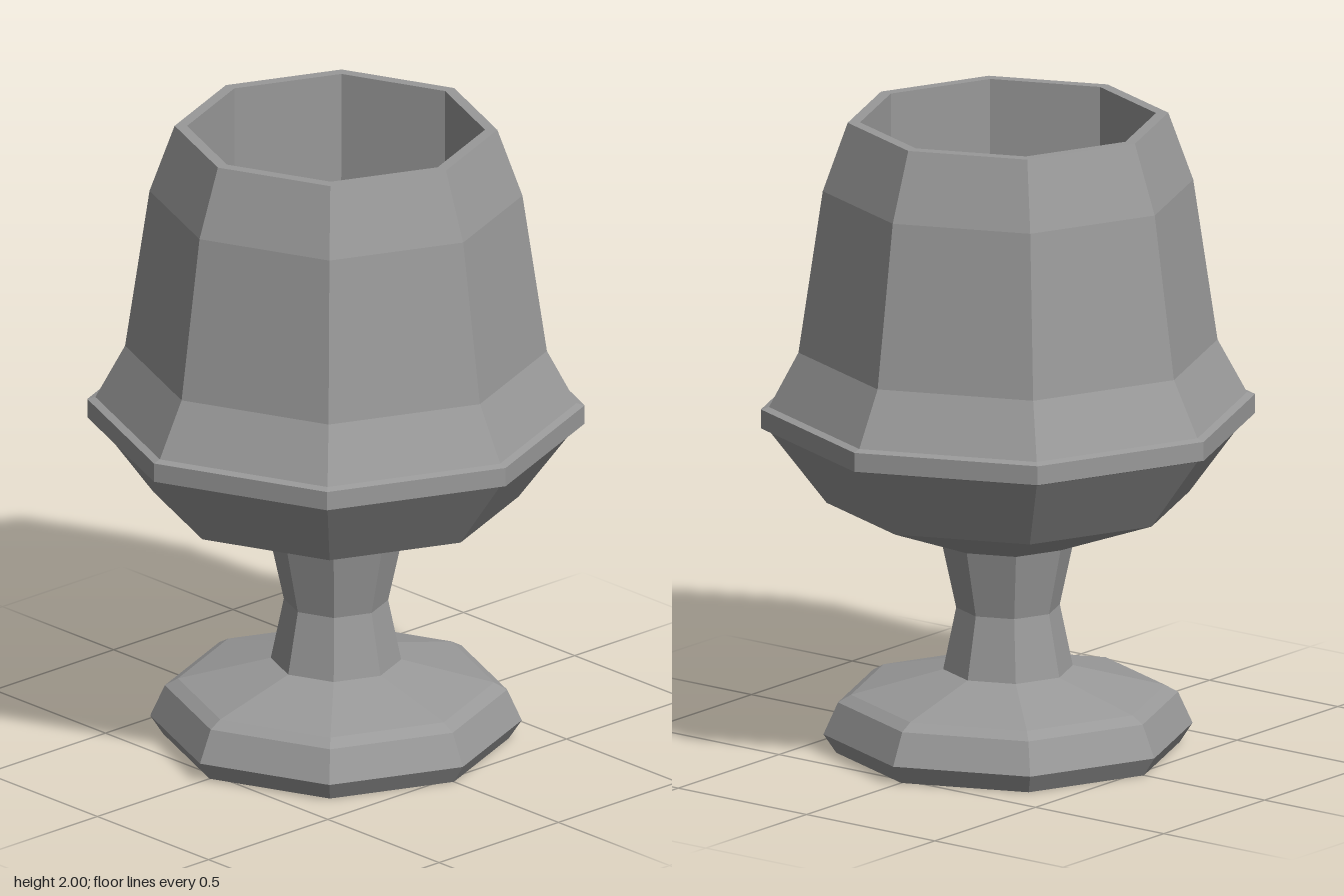
import * as THREE from 'three';

const SIDES = 8;

// Faceted octagonal lathe from [radius, height] pairs, with corners on the x and z axes
function turned(name, profile, material) {
  const points = profile.map(([r, y]) => new THREE.Vector2(r, y));
  const geometry = new THREE.LatheGeometry(points, SIDES).toNonIndexed();
  geometry.computeVertexNormals();
  const mesh = new THREE.Mesh(geometry, material);
  mesh.name = name;
  return mesh;
}

export function createModel() {
  const stone = new THREE.MeshStandardMaterial({ color: 0x999999, flatShading: true });
  stone.name = 'grey stone';

  const goblet = new THREE.Group();
  goblet.name = 'goblet';

  // Foot: closed underneath, bevelled edge, sloping up to the stem
  goblet.add(turned('foot', [
    [0, 0], [0.53, 0], [0.57, 0.06], [0.525, 0.16], [0.485, 0.183], [0.2, 0.255],
  ], stone));

  // Waisted stem
  goblet.add(turned('stem', [[0.2, 0.255], [0.16, 0.45], [0.205, 0.66]], stone));

  // Underside of the bowl
  goblet.add(turned('bowlBase', [[0.205, 0.66], [0.56, 0.795], [0.738, 1.03]], stone));

  // Projecting band around the widest part
  goblet.add(turned('band', [
    [0.738, 1.03], [0.763, 1.038], [0.763, 1.098], [0.738, 1.105],
  ], stone));

  // Tapering upper wall and flat lip
  goblet.add(turned('bowlWall', [
    [0.738, 1.105], [0.647, 1.275], [0.572, 1.785], [0.495, 2], [0.457, 2],
  ], stone));

  // Hollow inside with a shallow sloping floor
  goblet.add(turned('bowlInside', [
    [0.457, 2], [0.455, 0.82], [0.155, 0.71], [0, 0.71],
  ], stone));

  return goblet;
}
